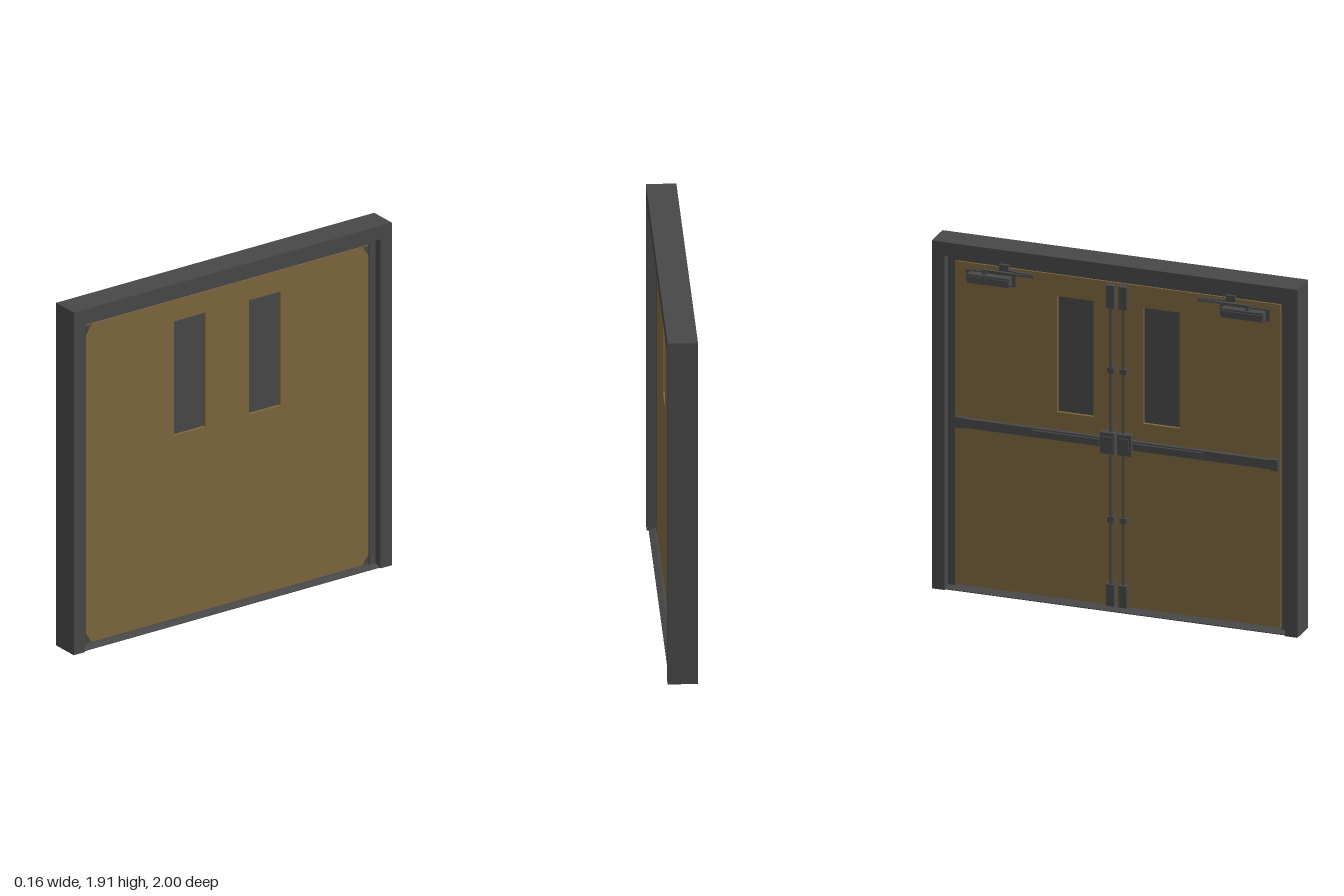
import * as THREE from 'three';

const steel = new THREE.MeshStandardMaterial({ color: 0x484848 });
steel.name = 'dark grey steel';
const wood = new THREE.MeshStandardMaterial({ color: 0x7d673e });
wood.name = 'brown door';

// Box given by its minimum and maximum corners
function box(name, x0, x1, y0, y1, z0, z1, mat = steel) {
  const m = new THREE.Mesh(new THREE.BoxGeometry(x1 - x0, y1 - y0, z1 - z0), mat);
  m.position.set((x0 + x1) / 2, (y0 + y1) / 2, (z0 + z1) / 2);
  m.name = name;
  return m;
}

// Outline drawn in (z, y), extruded from x0 to x1
function slab(name, shape, x0, x1, mat = steel) {
  const g = new THREE.ExtrudeGeometry(shape, { depth: x1 - x0, bevelEnabled: false });
  const m = new THREE.Mesh(g, mat);
  m.rotation.y = -Math.PI / 2;
  m.position.x = x1;
  m.name = name;
  return m;
}

const poly = (pts) => new THREE.Shape(pts.map(([a, b]) => new THREE.Vector2(a, b)));
const rect = (z0, z1, y0, y1) => poly([[z0, y0], [z1, y0], [z1, y1], [z0, y1]]);

// Two jambs joined by a header
const portal = (zo, yo, zi, yi) =>
  poly([[-zo, 0], [-zi, 0], [-zi, yi], [zi, yi], [zi, 0], [zo, 0], [zo, yo], [-zo, yo]]);

// Straight square bar between two points
function bar(name, a, b, w, h) {
  const p = new THREE.Vector3(...a), q = new THREE.Vector3(...b);
  const m = new THREE.Mesh(new THREE.BoxGeometry(w, h, p.distanceTo(q)), steel);
  m.position.copy(p).lerp(q, 0.5);
  m.lookAt(q);
  m.name = name;
  return m;
}

const FACE = -0.022; // hardware side of the door
const BACK = 0.03;   // plain side of the door

// Push bar, vertical rods and latches of one leaf; s is its side along z
function exitDevice(s) {
  const g = new THREE.Group();
  g.name = 'exitDevice';
  const b = (name, x, y0, y1, za, zb) =>
    g.add(box(name, x, FACE, y0, y1, Math.min(s * za, s * zb), Math.max(s * za, s * zb)));
  b('latchCase', -0.062, 0.865, 0.98, 0.008, 0.085);
  b('latchCover', -0.07, 0.885, 0.96, 0.018, 0.07);
  b('pushBarRail', -0.046, 0.895, 0.945, 0.085, 0.875);
  b('pushPad', -0.058, 0.903, 0.937, 0.09, 0.47);
  b('railEndCap', -0.05, 0.89, 0.95, 0.84, 0.882);
  b('topLatch', -0.056, 1.665, 1.79, 0.012, 0.056);
  b('bottomLatch', -0.056, 0.025, 0.145, 0.012, 0.056);
  for (const y of [0.5, 1.32]) b('rodGuide', -0.05, y - 0.014, y + 0.014, 0.016, 0.052);
  const rod = new THREE.Mesh(new THREE.CylinderGeometry(0.009, 0.009, 1.7, 10), steel);
  rod.position.set(-0.038, 0.9, s * 0.034);
  rod.name = 'verticalRod';
  g.add(rod);
  return g;
}

// Door closer with its folding arm
function closer(s) {
  const g = new THREE.Group();
  g.name = 'doorCloser';
  const lo = Math.min(s * 0.58, s * 0.81), hi = Math.max(s * 0.58, s * 0.81);
  g.add(box('closerPlate', -0.03, FACE, 1.7, 1.765, lo - 0.02, hi + 0.02));
  g.add(box('closerBody', -0.074, -0.03, 1.708, 1.757, lo, hi));
  g.add(box('closerCover', -0.08, -0.074, 1.718, 1.747, lo, hi));
  const pivot = new THREE.Mesh(new THREE.CylinderGeometry(0.012, 0.012, 0.03, 12), steel);
  pivot.position.set(-0.052, 1.768, s * 0.72);
  pivot.name = 'closerPivot';
  g.add(pivot);
  g.add(bar('closerArm', [-0.052, 1.782, s * 0.73], [-0.06, 1.782, s * 0.45], 0.018, 0.008));
  g.add(bar('closerForearm', [-0.06, 1.79, s * 0.45], [-0.035, 1.79, s * 0.62], 0.014, 0.007));
  g.add(box('armBracket', -0.045, -0.024, 1.785, 1.82, s * 0.62 - 0.025, s * 0.62 + 0.025));
  return g;
}

export function createModel() {
  const model = new THREE.Group();
  model.name = 'doubleDoor';

  // Frame with a central step all round the opening
  model.add(slab('outerFrame', portal(1, 1.915, 0.93, 1.84), -0.076, 0.08));
  model.add(slab('frameStop', portal(0.93, 1.84, 0.893, 1.803), -0.024, 0.032));

  // Low sill with sloping sides
  const sill = new THREE.Mesh(new THREE.ExtrudeGeometry(
    poly([[-0.066, 0], [0.07, 0], [0.07, 0.004], [0.04, 0.013], [-0.036, 0.013], [-0.066, 0.004]]),
    { depth: 1.86, bevelEnabled: false }), steel);
  sill.position.z = -0.93;
  sill.name = 'threshold';
  model.add(sill);

  for (const s of [-1, 1]) {
    const leaf = new THREE.Group();
    leaf.name = s > 0 ? 'leftLeaf' : 'rightLeaf';

    // Leaf with a window opening and a recessed pane
    const shape = s > 0 ? rect(0, 0.888, 0.02, 1.798) : rect(-0.89, 0, 0.02, 1.798);
    const w0 = s > 0 ? 0.137 : -0.335, w1 = w0 + 0.198;
    shape.holes.push(rect(w0, w1, 1.042, 1.68));
    leaf.add(slab('doorPanel', shape, FACE, BACK, wood));
    leaf.add(box('windowPane', -0.005, 0.013, 1.042, 1.68, w0, w1));

    // Small corner plates on the plain side
    const e = s * 0.887;
    for (const [y, d] of [[0.021, 1], [1.797, -1]]) {
      leaf.add(slab('cornerPlate',
        poly([[e, y], [e - s * 0.035, y], [e, y + d * 0.05]]), BACK, BACK + 0.002));
    }
    leaf.add(exitDevice(s), closer(s));
    model.add(leaf);
  }
  return model;
}
